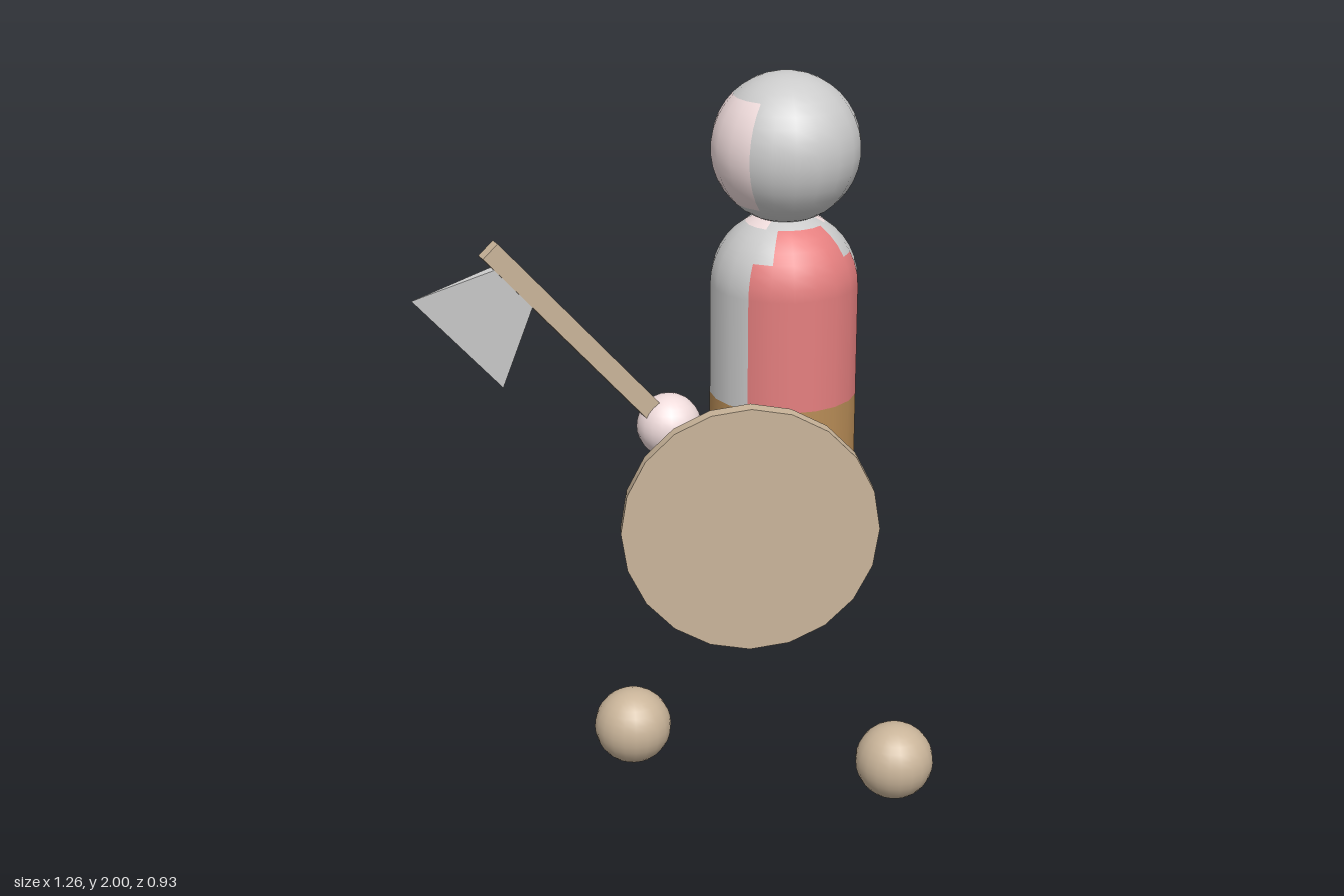
import * as THREE from 'three';
import { ConvexGeometry } from 'three/addons/geometries/ConvexGeometry.js';

const GREY = 0xcccccc, RED = 0xe57f7f, BROWN = 0xb98d57, TAN = 0xcab59a, SKIN = 0xf0dcdc;
const R = 0.193; // shared radius of head and body
const deg = THREE.MathUtils.degToRad;

function addMesh(parent, name, geometry, color, flatShading = false) {
  const mesh = new THREE.Mesh(geometry, new THREE.MeshStandardMaterial({ color, flatShading }));
  mesh.name = name;
  parent.add(mesh);
  return mesh;
}

// Colour patch of a round surface: profile of [radius, y], turned from angle a to b (0 = front, 90 = +x).
// low/high are the heights of the two dome centres, used for smooth outward normals.
function patch(parent, name, profile, a, b, color, low, high) {
  const geo = new THREE.LatheGeometry(profile.map(p => new THREE.Vector2(...p)),
    Math.round((b - a) / 18), deg(a), deg(b - a));
  const pos = geo.attributes.position, n = new THREE.Vector3();
  for (let i = 0; i < pos.count; i++) {
    n.fromBufferAttribute(pos, i);
    n.y -= THREE.MathUtils.clamp(n.y, low, high);
    n.normalize();
    geo.attributes.normal.setXYZ(i, n.x, n.y, n.z);
  }
  return addMesh(parent, name, geo, color);
}

// Arc of a dome, angles measured from the top, listed from bottom to top
function arc(from, to, cy) {
  const steps = Math.max(2, Math.round((from - to) / 10));
  return Array.from({ length: steps + 1 }, (_, i) => {
    const t = deg(from + (to - from) * i / steps);
    return [Math.max(0, R * Math.sin(t)), cy + R * Math.cos(t)];
  });
}

function ball(parent, name, r, x, y, z, color) {
  addMesh(parent, name, new THREE.SphereGeometry(r, 20, 16), color).position.set(x, y, z);
}

export function createModel() {
  const model = new THREE.Group();

  // Head: hood with an open face toward -x
  const head = new THREE.Group();
  head.name = 'head';
  head.position.set(0.274, 1.807, -0.052);
  model.add(head);
  patch(head, 'hoodTop', arc(45, 0, 0), 0, 360, GREY, 0, 0);
  patch(head, 'hoodSides', arc(135, 45, 0), -54, 234, GREY, 0, 0);
  patch(head, 'face', arc(135, 45, 0), 234, 306, SKIN, 0, 0);
  patch(head, 'hoodBottom', arc(180, 135, 0), 0, 360, GREY, 0, 0);

  // Body: capsule with trousers, tunic panels front and back, grey sides
  const body = new THREE.Group();
  body.name = 'body';
  body.position.set(0.274, 0, -0.052);
  model.add(body);
  const low = 0.841, high = 1.45, waist = 1.156;
  patch(body, 'trousers', [...arc(180, 90, low), [R, waist]], 0, 360, BROWN, low, high);
  const chest = [[R, waist], ...arc(90, 62, high)];
  const shoulder = arc(62, 32, high), neck = arc(32, 0, high);
  for (const c of [0, 180]) {
    patch(body, 'tunicPanel', chest, c - 54, c + 54, RED, low, high);
    patch(body, 'tunicShoulder', shoulder, c - 36, c + 36, RED, low, high);
    patch(body, 'sidePanel', chest, c + 54, c + 126, GREY, low, high);
    patch(body, 'sideShoulder', shoulder, c + 36, c + 144, GREY, low, high);
    patch(body, 'collar', neck, c - 54, c + 54, GREY, low, high);
    patch(body, 'neck', neck, c + 54, c + 126, SKIN, low, high);
  }

  // Floating hands and feet
  ball(model, 'shieldHand', 0.089, 0.024, 0.945, 0.22, SKIN);
  ball(model, 'axeHand', 0.089, 0.09, 0.972, -0.38, SKIN);
  ball(model, 'rearFoot', 0.107, -0.069, 0.135, -0.275, TAN);
  ball(model, 'frontFoot', 0.107, 0.523, 0.109, 0.167, TAN);

  // Round shield, turned slightly toward -x
  const shieldGeo = new THREE.CylinderGeometry(0.322, 0.322, 0.042, 20).rotateX(Math.PI / 2);
  const shield = addMesh(model, 'shield', shieldGeo, TAN);
  shield.position.set(0, 0.95, 0.33);
  shield.rotation.y = deg(-21);

  // Axe: square handle and a wedge blade that thins to its cutting edge
  const axe = new THREE.Group();
  axe.name = 'axe';
  axe.position.z = -0.374;
  model.add(axe);
  const top = new THREE.Vector2(-0.42, 1.532), end = new THREE.Vector2(0.304, 0.729);
  const handle = addMesh(axe, 'axeHandle', new THREE.BoxGeometry(top.distanceTo(end), 0.055, 0.037), TAN);
  handle.position.set((top.x + end.x) / 2, (top.y + end.y) / 2, 0);
  handle.rotation.z = Math.atan2(end.y - top.y, end.x - top.x);
  const wedge = [[-0.632, 1.42, 0], [-0.389, 1.15, 0]];
  for (const z of [-0.017, 0.017]) wedge.push([-0.382, 1.487, z], [-0.297, 1.392, z]);
  addMesh(axe, 'axeBlade', new ConvexGeometry(wedge.map(p => new THREE.Vector3(...p))), GREY, true);

  return model;
}
